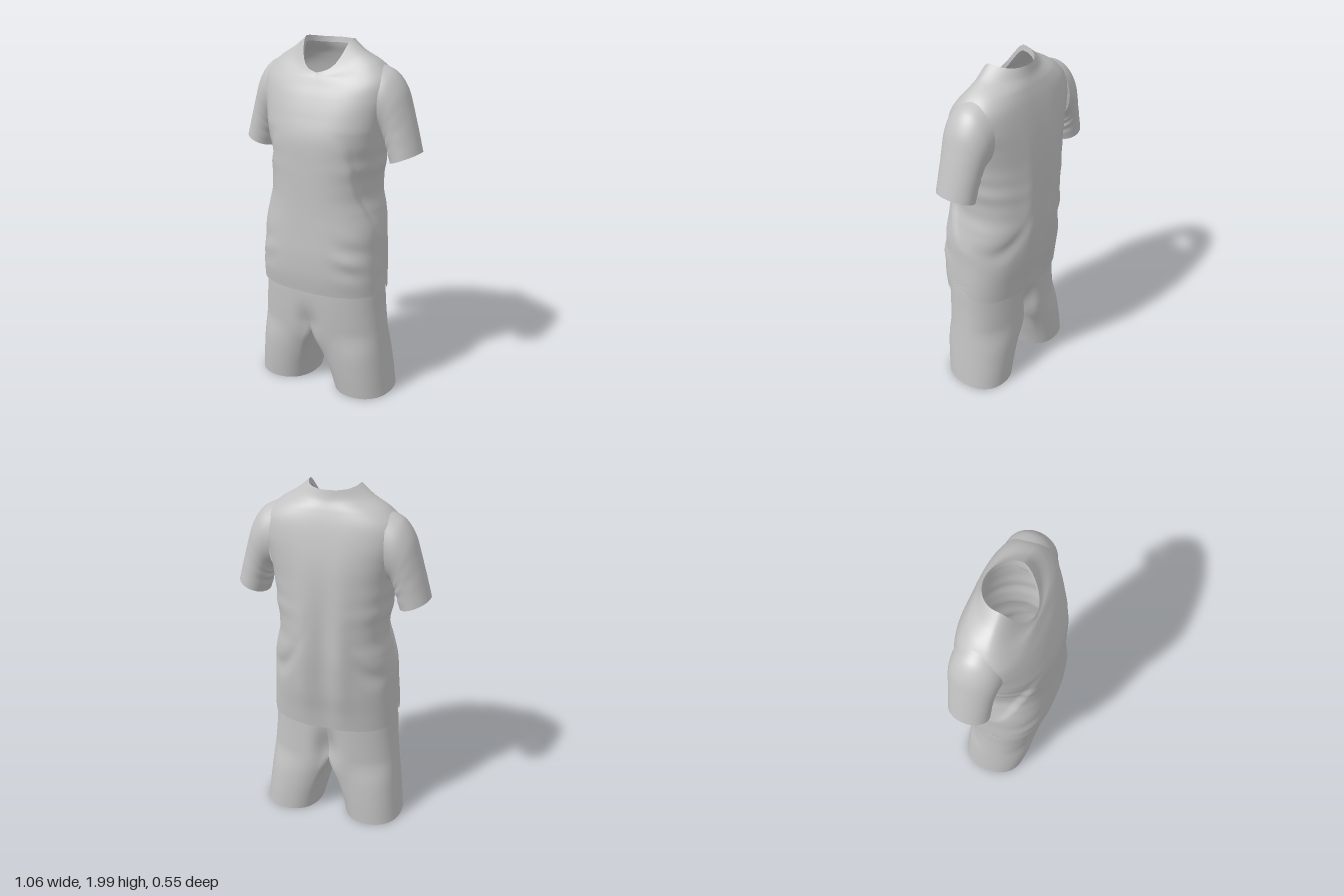
import * as THREE from 'three';

const cloth = new THREE.MeshStandardMaterial({ color: 0xc2c2c2, side: THREE.DoubleSide });
cloth.name = 'light grey cloth';

const spow = (v, p) => Math.sign(v) * Math.abs(v) ** p;
const bell = (v, centre, width) => Math.exp(-(((v - centre) / width) ** 2));
const smooth = THREE.MathUtils.smoothstep;

// Smooth interpolation through rows of section numbers, t in 0..1
function sample(rows, t) {
  const f = t * (rows.length - 1);
  const i = Math.min(Math.floor(f), rows.length - 2);
  const s = f - i;
  const at = k => rows[Math.max(0, Math.min(rows.length - 1, k))];
  return rows[i].map((b, c) => {
    const a = at(i - 1)[c], d = at(i + 1)[c], e = at(i + 2)[c];
    return b + 0.5 * s * (d - a + s * (2 * a - 5 * b + 4 * d - e + s * (3 * (b - d) + e - a)));
  });
}

// Closed rings stacked upward; skip(u, t) leaves faces out
function loft(name, nu, nv, point, skip = () => false) {
  const pos = [], index = [];
  for (let j = 0; j <= nv; j++)
    for (let i = 0; i < nu; i++) pos.push(...point(i / nu, j / nv));
  for (let j = 0; j < nv; j++)
    for (let i = 0; i < nu; i++) {
      if (skip((i + 0.5) / nu, (j + 0.5) / nv)) continue;
      const a = j * nu + i, b = j * nu + ((i + 1) % nu);
      index.push(a, a + nu, b, b, a + nu, b + nu);
    }
  const geo = new THREE.BufferGeometry();
  geo.setAttribute('position', new THREE.Float32BufferAttribute(pos, 3));
  geo.setIndex(index);
  geo.computeVertexNormals();
  const mesh = new THREE.Mesh(geo, cloth);
  mesh.name = name;
  return mesh;
}

// Copy across x = 0 with the corner order turned round
function mirror(source, name) {
  const geo = source.geometry.clone().scale(-1, 1, 1);
  const idx = geo.index.array;
  for (let i = 0; i < idx.length; i += 3) [idx[i], idx[i + 1]] = [idx[i + 1], idx[i]];
  geo.computeVertexNormals();
  const mesh = new THREE.Mesh(geo, cloth);
  mesh.name = name;
  return mesh;
}

// Body rings: y at front, side, back; half width; z front, z back; squareness front, back
const BODY = [
  [0.64, 0.64, 0.63, 0.362, 0.258, -0.206, 2.5, 2.5],
  [0.74, 0.74, 0.74, 0.358, 0.272, -0.222, 2.6, 2.5],
  [0.86, 0.86, 0.86, 0.35, 0.276, -0.245, 2.6, 2.4],
  [1.0, 1.0, 1.0, 0.344, 0.27, -0.262, 2.5, 2.3],
  [1.1, 1.1, 1.1, 0.325, 0.266, -0.27, 2.4, 2.3],
  [1.2, 1.2, 1.2, 0.304, 0.264, -0.272, 2.4, 2.3],
  [1.35, 1.35, 1.35, 0.318, 0.262, -0.27, 2.4, 2.3],
  [1.5, 1.5, 1.5, 0.334, 0.255, -0.262, 2.4, 2.3],
  [1.62, 1.62, 1.62, 0.352, 0.222, -0.248, 2.5, 2.5],
  [1.71, 1.72, 1.73, 0.37, 0.188, -0.226, 2.5, 2.8],
  [1.77, 1.81, 1.82, 0.362, 0.158, -0.203, 2.5, 2.8],
  [1.805, 1.885, 1.885, 0.298, 0.14, -0.18, 2.3, 2.5],
  [1.82, 1.945, 1.935, 0.205, 0.129, -0.158, 2, 2],
  [1.832, 2.0, 1.985, 0.137, 0.122, -0.145, 2, 2],
];

function ringPoint([yF, yS, yB, rx, zF, zB, nF, nB], u) {
  const c = Math.cos(u * Math.PI * 2), s = Math.sin(u * Math.PI * 2);
  const n = s > 0 ? nF : nB;
  const rise = smooth(Math.abs(s), 0, 1);
  // the front dips in a shallow V
  const y = yS + (s > 0 ? (yF - yS) * rise * (1 - 0.2 * Math.abs(c)) : (yB - yS) * rise);
  return [rx * spow(c, 2 / n), y, (zF + zB) / 2 + ((zF - zB) / 2) * spow(s, 2 / n)];
}

function bodyPoint(u, t) {
  let [x, y, z] = ringPoint(sample(BODY, t), u);
  const side = Math.abs(x);
  // loose front panel: its edge sweeps from the chest back toward the hip
  if (y > 0.95 && y < 1.55) {
    const h = (y - 0.95) / 0.6;
    const behind = 0.235 * Math.sqrt(h) - z;
    const tuck = smooth(behind, -0.012, 0.03) * (1 - smooth(behind, 0.03, 0.2));
    const depth = 0.07 * tuck * Math.sin(h * Math.PI);
    x *= 1 - depth;
    z *= 1 - depth;
  }
  // long soft folds down the back
  if (z < -0.05) {
    const w = bell(y, 1.1, 0.38);
    z += w * (0.016 * bell(x, -0.01, 0.05) - 0.012 * bell(x, 0.11, 0.05) - 0.01 * bell(x, -0.11, 0.05));
    z += 0.018 * bell(y, 0.97 + (side - 0.3) ** 2 * 6, 0.06) * bell(side, 0.26, 0.1);
  }
  // gathers near the front hip, stronger on the left
  if (z > 0) {
    const amount = x > 0 ? 0.009 : 0.004;
    z += amount * Math.sin((y + 0.35 * side) * 42) * bell(y, 0.86, 0.11) * bell(side, 0.27, 0.08);
  }
  // creases under the arms
  x += Math.sign(x) * 0.003 * Math.sin(y * 48) * bell(y, 1.36, 0.12) * Math.min(1, side * 4);
  // side vents in the hem
  if (y < 0.72 && side > 0.25) y += 0.06 * Math.exp(-(((z - 0.04) / 0.06) ** 6)) * (1 - t * 13 / 0.9);
  return [x, y, z];
}

// Opening in the body where a sleeve joins
function inArmhole(u, t) {
  const [x, y, z] = bodyPoint(u, t);
  return Math.abs(x) > 0.2 && ((y - 1.69) / 0.155) ** 2 + ((z + 0.045) / 0.115) ** 2 < 1;
}

// Sleeve rings, cuff to armhole: outer x, y; inner x, y; z front, z back
const SLEEVE = [
  [0.532, 1.432, 0.37, 1.366, 0.065, -0.157],
  [0.503, 1.54, 0.354, 1.42, 0.066, -0.161],
  [0.468, 1.66, 0.342, 1.465, 0.07, -0.168],
  [0.432, 1.765, 0.334, 1.495, 0.078, -0.176],
  [0.375, 1.842, 0.328, 1.512, 0.088, -0.183],
  [0.3, 1.878, 0.316, 1.52, 0.098, -0.186],
];

function sleeve(name) {
  return loft(name, 56, 36, (u, t) => {
    const [ox, oy, ix, iy, zF, zB] = sample(SLEEVE, t);
    const a = u * Math.PI * 2;
    const k = 0.5 + 0.5 * Math.cos(a);
    const fold = 0.004 * Math.sin(t * 34) * (1 - k) * bell(t, 0.35, 0.2);
    return [ix + (ox - ix) * k + fold, iy + (oy - iy) * k,
      (zF + zB) / 2 + ((zF - zB) / 2) * Math.sin(a)];
  });
}

// Shorts rings: y, inner x, outer x, z front, z back, blend from leg tube to hip half
const LEG = [
  [0.01, 0.082, 0.415, 0.178, -0.2, 0],
  [0.14, 0.052, 0.402, 0.198, -0.2, 0.05],
  [0.27, 0.024, 0.388, 0.216, -0.198, 0.3],
  [0.4, 0.0, 0.374, 0.232, -0.196, 1],
  [0.53, 0.0, 0.362, 0.242, -0.195, 1],
  [0.66, 0.0, 0.354, 0.246, -0.194, 1],
  [0.79, 0.0, 0.337, 0.24, -0.192, 1],
];
const OUTER = 0.36; // half share of each ring that lies on the outside of the hip

function shortsLeg(name) {
  return loft(name, 100, 36, (u, t) => {
    const [y, xi, xo, zF, zB, blend] = sample(LEG, t);
    const b = t >= 0.5 ? 1 : Math.max(0, Math.min(1, blend));
    const w = u > 0.5 ? u - 1 : u;
    const a = w * Math.PI * 2;
    const zc = (zF + zB) / 2, rz = (zF - zB) / 2;
    const tube = [(xi + xo) / 2 + ((xo - xi) / 2) * spow(Math.cos(a), 0.9), zc + rz * spow(Math.sin(a), 0.9)];
    // outer half of the hip, closed by a flat wall at the middle
    let hip = [0, zc + (rz * Math.sign(w) * (0.5 - Math.abs(w))) / (0.5 - OUTER)];
    if (Math.abs(w) <= OUTER + 1e-6) {
      const h = (w / OUTER) * (Math.PI / 2);
      hip = [xo * Math.max(0, Math.cos(h)) ** 0.85, zc + rz * spow(Math.sin(h), 0.85)];
    }
    const x = Math.max(0, tube[0] + (hip[0] - tube[0]) * b);
    const z = tube[1] + (hip[1] - tube[1]) * b;
    // soft hollow above the crotch in front, longer seat groove behind
    const hollow = z > 0 ? 0.15 * bell(x, 0, 0.06) * bell(y, 0.41, 0.1) : 0.3 * bell(x, 0, 0.06) * bell(y, 0.45, 0.14);
    return [x, y, z * (1 - hollow)];
  }, (u, t) => t > 0.5 && Math.abs(u - 0.5) < 0.5 - OUTER);
}

export function createModel() {
  const model = new THREE.Group();
  model.name = 'sportsKit';

  const shirt = new THREE.Group();
  shirt.name = 'shirt';
  const leftSleeve = sleeve('leftSleeve');
  shirt.add(loft('shirtBody', 144, 156, bodyPoint, inArmhole), leftSleeve, mirror(leftSleeve, 'rightSleeve'));

  // collar facing turned inside the neck
  const neck = BODY[BODY.length - 1];
  shirt.add(loft('collarFacing', 64, 3, (u, t) => {
    const [x, y, z] = ringPoint(neck, u);
    const k = 1 - 0.03 * t;
    return [x * k, y - 0.03 * t, -0.012 + (z + 0.012) * k];
  }));

  const shorts = new THREE.Group();
  shorts.name = 'shorts';
  const leftLeg = shortsLeg('leftShortsLeg');
  shorts.add(leftLeg, mirror(leftLeg, 'rightShortsLeg'));

  model.add(shirt, shorts);
  return model;
}
